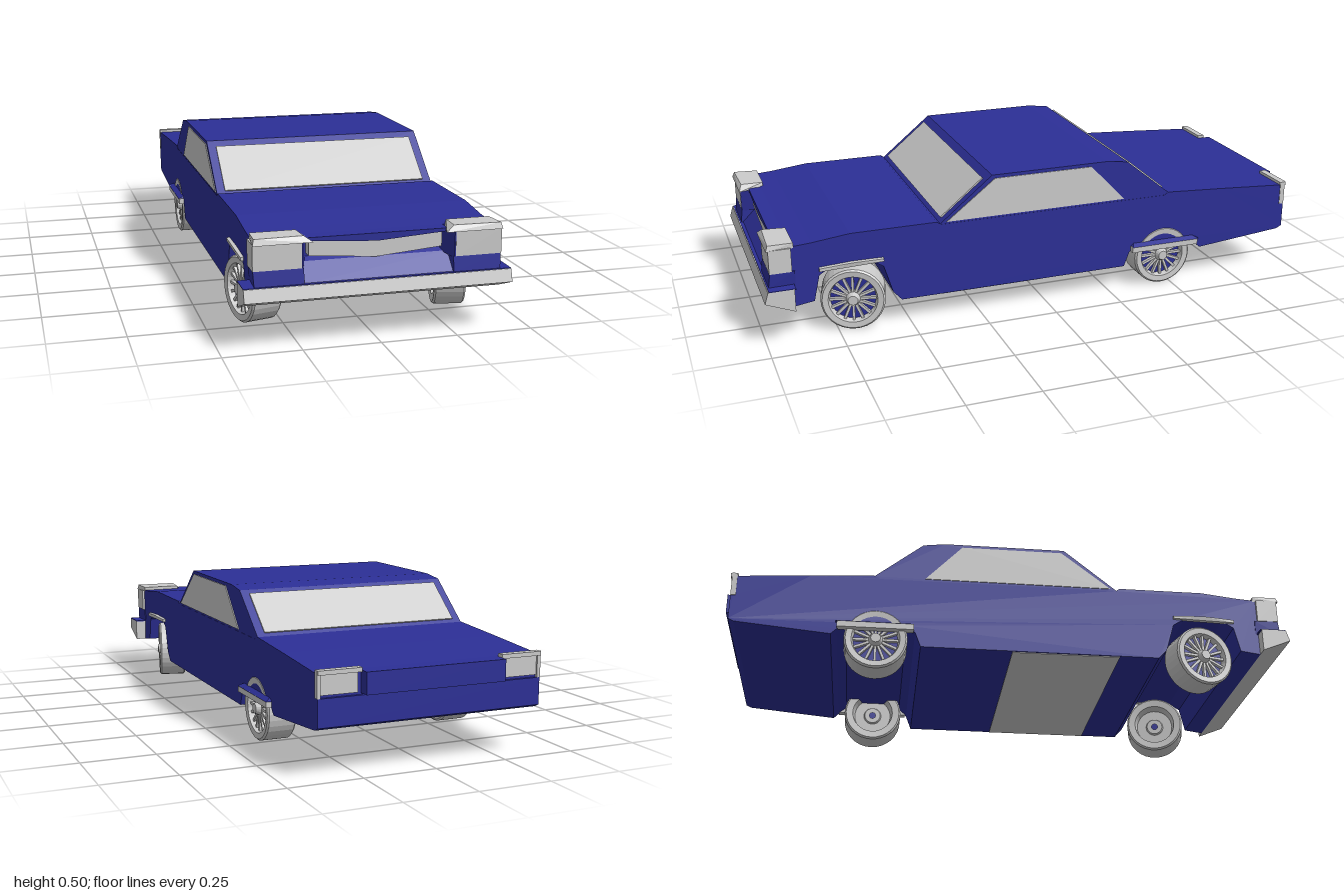
import * as THREE from 'three';
import { ConvexGeometry } from 'three/addons/geometries/ConvexGeometry.js';

const paint = new THREE.MeshStandardMaterial({ color: 0x2c2f96, flatShading: true });
const grey = new THREE.MeshStandardMaterial({ color: 0xcccccc, flatShading: true });
const greyOpen = new THREE.MeshStandardMaterial({ color: 0xcccccc, flatShading: true, side: THREE.DoubleSide });

function part(parent, name, geometry, material) {
  const mesh = new THREE.Mesh(geometry, material);
  mesh.name = name;
  parent.add(mesh);
  return mesh;
}

// Side profile of [z, y] points, extruded across the car
function across(points, width) {
  const shape = new THREE.Shape(points.map(([z, y]) => new THREE.Vector2(z, y)));
  const g = new THREE.ExtrudeGeometry(shape, { depth: width, bevelEnabled: false });
  return g.rotateY(-Math.PI / 2).translate(width / 2, 0, 0);
}

// Box given by its limits
function box(x0, x1, y0, y1, z0, z1) {
  return new THREE.BoxGeometry(x1 - x0, y1 - y0, z1 - z0)
    .translate((x0 + x1) / 2, (y0 + y1) / 2, (z0 + z1) / 2);
}

// Convex block from corner points, s = -1 mirrors it to the right side
function block(points, s = 1) {
  return new ConvexGeometry(points.map(([x, y, z]) => new THREE.Vector3(s * x, y, z)));
}

function mirroredBox(s, x0, x1, ...rest) {
  return s > 0 ? box(x0, x1, ...rest) : box(-x1, -x0, ...rest);
}

// Wheel with its outer face towards +x
function makeWheel(name) {
  const wheel = new THREE.Group();
  wheel.name = name;
  const profile = [
    [0.012, -0.02], [0.03, -0.02], [0.034, -0.012], [0.07, -0.012], [0.078, -0.05], [0.104, -0.052],
    [0.11, -0.046], [0.11, 0.046], [0.104, 0.052], [0.084, 0.05], [0.077, 0.028],
  ].map(([r, h]) => new THREE.Vector2(r, h));
  part(wheel, 'tyre', new THREE.LatheGeometry(profile, 32).rotateZ(-Math.PI / 2), greyOpen);
  part(wheel, 'rimDisc', new THREE.CylinderGeometry(0.078, 0.078, 0.03, 32)
    .rotateZ(-Math.PI / 2).translate(0.014, 0, 0), paint);
  part(wheel, 'hub', new THREE.CylinderGeometry(0.017, 0.03, 0.03, 16)
    .rotateZ(-Math.PI / 2).translate(0.043, 0, 0), grey);
  for (let i = 0; i < 16; i++) {
    part(wheel, 'spoke', new THREE.BoxGeometry(0.012, 0.055, 0.009)
      .translate(0.035, 0.052, 0).rotateX((i / 16) * Math.PI * 2), grey);
  }
  return wheel;
}

export function createModel() {
  const car = new THREE.Group();
  car.name = 'car';

  // Lower body with wheel arches cut right through
  part(car, 'body', across([
    [0.9, 0.335], [0.83, 0.34], [0.7, 0.355], [0.4, 0.355], [0.385, 0.345], [-0.46, 0.345], [-0.48, 0.355],
    [-0.7, 0.342], [-0.96, 0.325], [-0.96, 0.25], [-0.97, 0.25], [-0.97, 0.16], [-0.95, 0.15], [-0.62, 0.12],
    [-0.6, 0.14], [-0.57, 0.165], [-0.36, 0.165], [-0.33, 0.14], [-0.31, 0.087], [0.53, 0.087],
    [0.56, 0.12], [0.59, 0.22], [0.63, 0.245], [0.77, 0.245], [0.81, 0.22], [0.83, 0.13], [0.9, 0.12],
  ], 0.78), paint);
  part(car, 'floorPanel', box(-0.385, 0.385, 0.084, 0.09, 0.01, 0.39), grey);

  // Cabin and glass
  part(car, 'cabin', across([
    [0.39, 0.345], [0.2, 0.5], [-0.23, 0.5], [-0.31, 0.49], [-0.48, 0.353], [-0.48, 0.34], [0.39, 0.34],
  ], 0.778), paint);
  part(car, 'windshield', across([[0.375, 0.355], [0.222, 0.48], [0.226, 0.485], [0.379, 0.36]], 0.72), grey);
  part(car, 'rearWindow', across([[-0.325, 0.476], [-0.465, 0.363], [-0.469, 0.368], [-0.329, 0.481]], 0.72), grey);
  part(car, 'sideWindows', across([[0.365, 0.352], [0.19, 0.488], [-0.17, 0.488], [-0.3, 0.352]], 0.784), grey);

  // Front bumper with painted top
  part(car, 'frontBumper', across([[0.9, 0.12], [1, 0.16], [0.988, 0.2], [0.9, 0.2]], 0.86), grey);
  part(car, 'bumperTop', box(-0.43, 0.43, 0.198, 0.202, 0.895, 0.985), paint);

  // Grille between painted lip and valance
  part(car, 'valance', across([[0.89, 0.27], [0.92, 0.255], [0.975, 0.2], [0.89, 0.2]], 0.49), paint);
  const bar = new THREE.Shape([
    [-0.215, 0.325], [-0.215, 0.275], [0, 0.257], [0.215, 0.275], [0.215, 0.325], [0, 0.31],
  ].map(([x, y]) => new THREE.Vector2(x, y)));
  part(car, 'grille', new THREE.ExtrudeGeometry(bar, { depth: 0.045, bevelEnabled: false })
    .translate(0, 0, 0.89), grey);
  const lip = new THREE.Shape([
    [-0.23, 0.325], [0, 0.31], [0.23, 0.325], [0.23, 0.335], [-0.23, 0.335],
  ].map(([x, y]) => new THREE.Vector2(x, y)));
  part(car, 'hoodLip', new THREE.ExtrudeGeometry(lip, { depth: 0.06, bevelEnabled: false })
    .translate(0, 0, 0.885), paint);

  for (const s of [1, -1]) {
    const side = s > 0 ? 'left' : 'right';
    // Headlight, its cap and its painted surround
    part(car, side + 'Headlight', mirroredBox(s, 0.247, 0.399, 0.25, 0.333, 0.9, 0.975), grey);
    part(car, side + 'HeadlightCap', block([
      [0.245, 0.348, 0.89], [0.39, 0.348, 0.89], [0.24, 0.35, 0.97], [0.395, 0.35, 0.975],
      [0.24, 0.33, 0.89], [0.39, 0.33, 0.89], [0.212, 0.33, 0.982], [0.4, 0.33, 0.982],
    ], s), grey);
    part(car, side + 'HeadlightCheek', block([
      [0.215, 0.33, 0.89], [0.25, 0.33, 0.89], [0.25, 0.33, 0.974], [0.243, 0.33, 0.974],
      [0.215, 0.255, 0.89], [0.25, 0.245, 0.89], [0.25, 0.245, 0.974], [0.243, 0.245, 0.974],
    ], s), paint);
    part(car, side + 'Corner', block([
      [0.24, 0.25, 0.89], [0.395, 0.25, 0.89], [0.24, 0.25, 0.974], [0.398, 0.25, 0.974],
      [0.24, 0.2, 0.89], [0.39, 0.2, 0.89], [0.24, 0.2, 0.98], [0.395, 0.2, 0.98],
    ], s), paint);

    // Tail light and its cap
    part(car, side + 'TailLight', mirroredBox(s, 0.255, 0.38, 0.258, 0.32, -0.964, -0.95), grey);
    part(car, side + 'TailLightCap', mirroredBox(s, 0.245, 0.39, 0.322, 0.336, -0.975, -0.95), grey);
    part(car, side + 'TailLightEdge', mirroredBox(s, 0.38, 0.392, 0.25, 0.336, -0.97, -0.952), grey);

    // Wheel arch trims
    part(car, side + 'FrontArchTrim', block([
      [0.385, 0.255, 0.59], [0.4, 0.252, 0.59], [0.385, 0.256, 0.7], [0.403, 0.254, 0.7],
      [0.385, 0.25, 0.81], [0.4, 0.247, 0.81], [0.385, 0.242, 0.59], [0.4, 0.242, 0.59],
      [0.385, 0.236, 0.81], [0.4, 0.236, 0.81],
    ], s), grey);
    part(car, side + 'RearArchTrim', mirroredBox(s, 0.38, 0.408, 0.142, 0.164, -0.6, -0.335), grey);
    part(car, side + 'RearArchTop', block([
      [0.385, 0.175, -0.58], [0.385, 0.175, -0.35], [0.385, 0.163, -0.605], [0.385, 0.163, -0.335],
      [0.41, 0.163, -0.605], [0.41, 0.163, -0.335],
    ], s), paint);

    // Wheels; the front pair toes in
    const turn = s > 0 ? 0 : Math.PI;
    const front = makeWheel(side + 'FrontWheel');
    front.position.set(s * 0.335, 0.11, 0.687);
    front.rotation.y = turn - s * 0.25;
    const rear = makeWheel(side + 'RearWheel');
    rear.position.set(s * 0.34, 0.11, -0.465);
    rear.rotation.y = turn;
    car.add(front, rear);
  }

  // Raised panel between the tail lights
  part(car, 'tailPanel', box(-0.243, 0.243, 0.255, 0.326, -1, -0.94), paint);
  return car;
}
